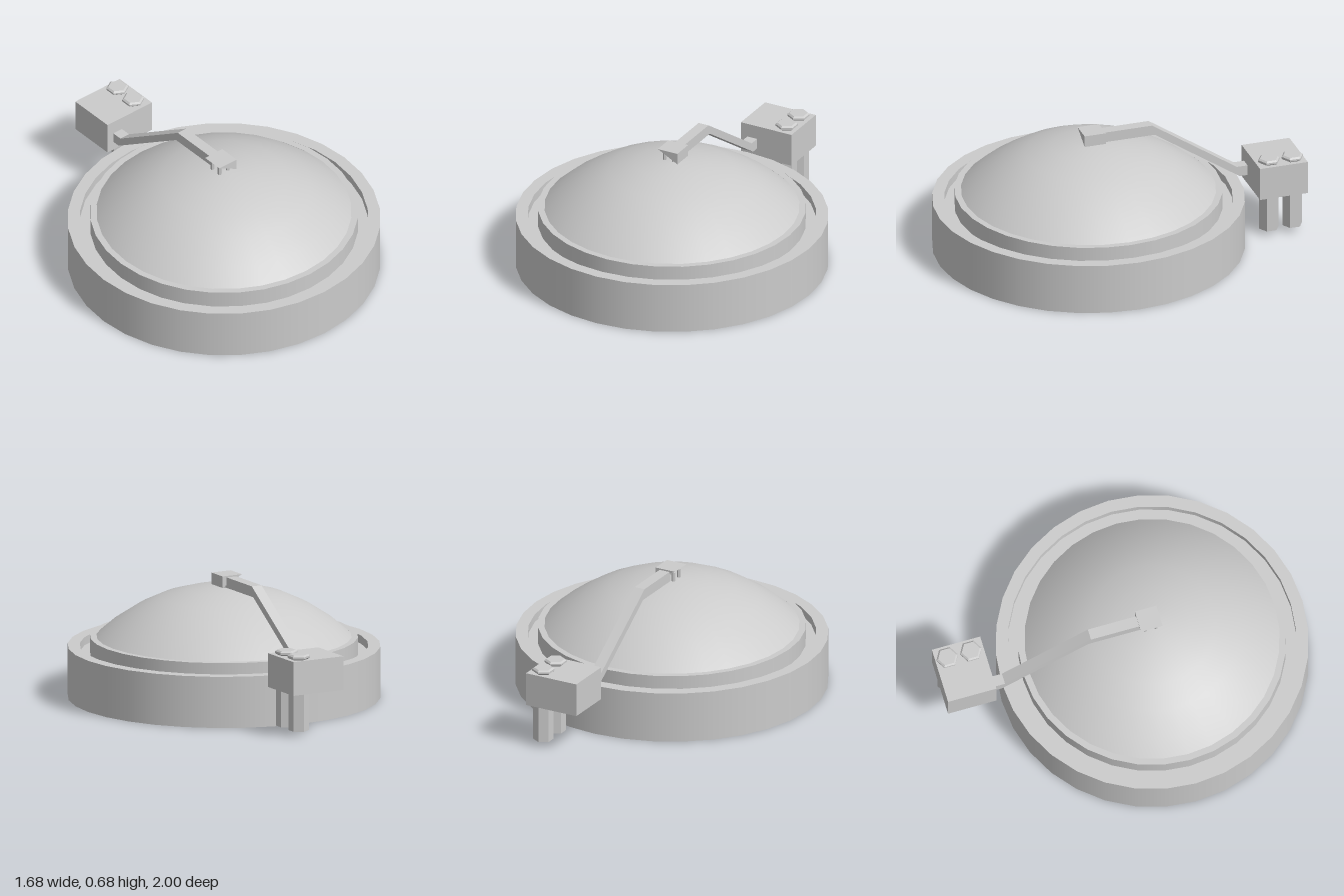
import * as THREE from 'three';

const material = new THREE.MeshStandardMaterial({ color: 0xcccccc, side: THREE.DoubleSide });
const flat = new THREE.MeshStandardMaterial({ color: 0xcccccc, side: THREE.DoubleSide, flatShading: true });

const v2 = (p) => new THREE.Vector2(p[0], p[1]);

function add(parent, name, geometry, mat, x = 0, y = 0, z = 0) {
  const mesh = new THREE.Mesh(geometry, mat);
  mesh.name = name;
  mesh.position.set(x, y, z);
  parent.add(mesh);
  return mesh;
}

// One lathe per profile segment keeps the rim edges sharp and the walls smooth
function addBands(parent, name, profile, segments) {
  for (let i = 0; i < profile.length - 1; i++) {
    add(parent, name, new THREE.LatheGeometry([v2(profile[i]), v2(profile[i + 1])], segments), material);
  }
}

export function createModel() {
  const model = new THREE.Group();
  model.name = 'domedTank';

  // Round tank, open underneath
  const tank = new THREE.Group();
  tank.name = 'tank';
  tank.position.z = 0.16;
  model.add(tank);
  addBands(tank, 'outerRim', [[0.84, 0], [0.84, 0.28], [0.775, 0.28], [0.775, 0.235]], 32);
  addBands(tank, 'innerRing', [[0.775, 0.235], [0.72, 0.235], [0.72, 0.33], [0.685, 0.33]], 32);

  // Shallow dome
  const dome = [[0.69, 0.325], [0.6, 0.402], [0.47, 0.487], [0.34, 0.548], [0.2, 0.588], [0.08, 0.605], [0, 0.609]];
  add(tank, 'dome', new THREE.LatheGeometry(dome.map(v2), 32), material);

  // Bent arm, drawn in (z, y) and extruded across x
  const armProfile = [
    [0.09, 0.61], [0.09, 0.667], [-0.19, 0.667], [-0.67, 0.345],
    [-0.73, 0.345], [-0.73, 0.288], [-0.685, 0.288], [-0.205, 0.61],
  ];
  const armGeometry = new THREE.ExtrudeGeometry(new THREE.Shape(armProfile.map(v2)), { depth: 0.06, bevelEnabled: false });
  armGeometry.translate(0, 0, -0.03);
  armGeometry.rotateY(-Math.PI / 2);
  add(model, 'arm', armGeometry, flat);

  // Wedge-shaped bracket on the crown, with pins through the dome
  const bracketProfile = [[-0.065, 0.675], [-0.03, 0.657], [0.055, 0.612], [0.055, 0.675]];
  const bracket = new THREE.ExtrudeGeometry(new THREE.Shape(bracketProfile.map(v2)), { depth: 0.12, bevelEnabled: false });
  add(model, 'crownBracket', bracket, flat, 0, 0, 0.08);
  for (const x of [-0.038, 0.018]) {
    for (const z of [0.11, 0.17]) {
      add(model, 'bracketPin', new THREE.CylinderGeometry(0.011, 0.011, 0.15, 6), flat, x, 0.58, z);
    }
  }

  // Control box behind the tank
  add(model, 'controlBox', new THREE.BoxGeometry(0.31, 0.185, 0.27), flat, 0.085, 0.328, -0.865);

  // Hexagonal tubes through the box, with caps on top
  const capProfile = [[0.05, 0.42], [0.06, 0.428], [0.06, 0.438], [0.05, 0.446], [0, 0.446]].map(v2);
  for (const z of [-0.803, -0.935]) {
    add(model, 'tube', new THREE.CylinderGeometry(0.055, 0.055, 0.39, 6), flat, 0.17, 0.225, z);
    add(model, 'tubeCap', new THREE.LatheGeometry(capProfile, 6), flat, 0.17, 0, z);
  }

  return model;
}
